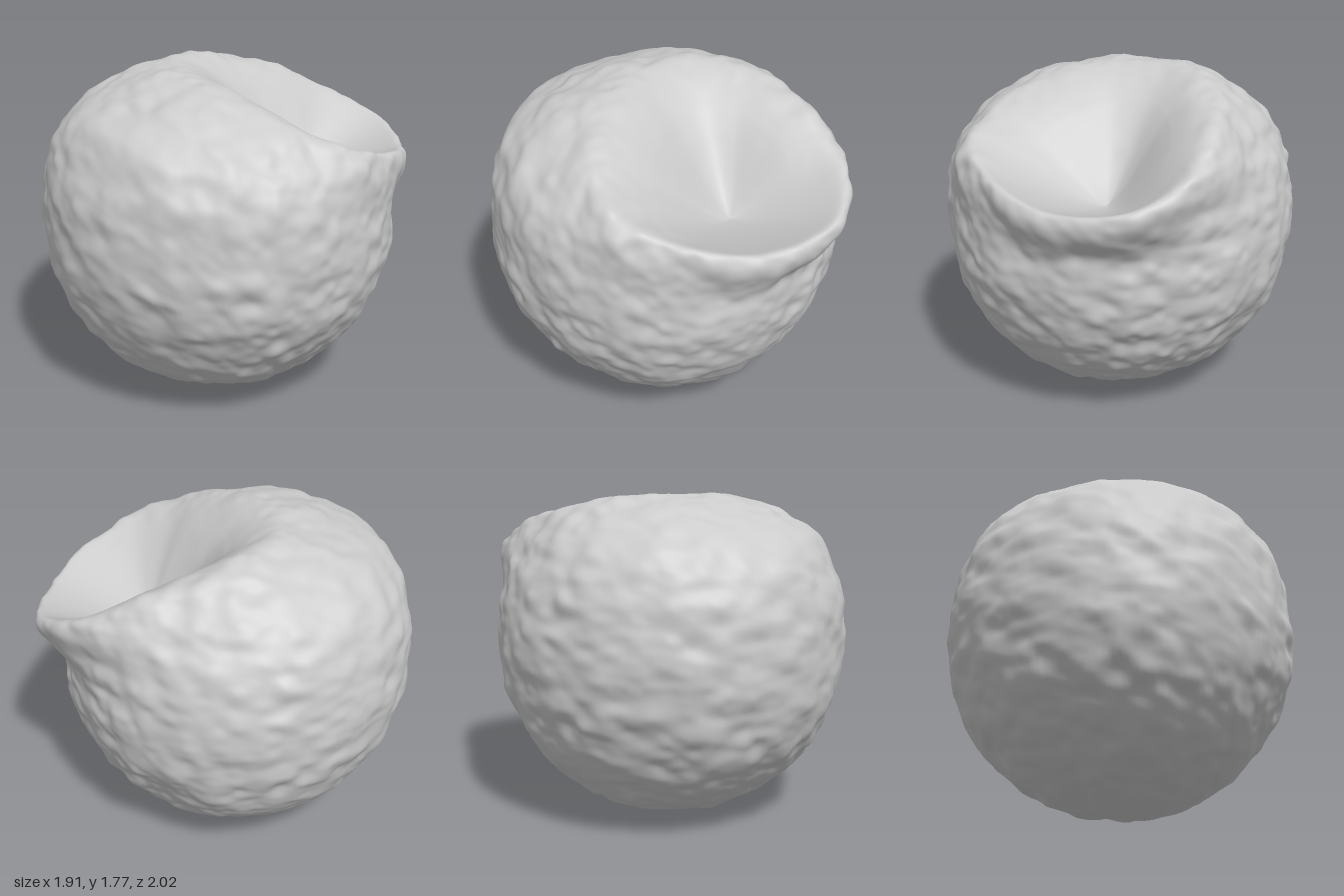
import * as THREE from 'three';

const { lerp, smoothstep } = THREE.MathUtils;
const rad = Math.PI / 180;

// Smooth seeded value noise, range -1..1
function hash(x, y, z) {
  let h = Math.imul(x, 374761393) ^ Math.imul(y, 668265263) ^ Math.imul(z, 1274126177);
  h = Math.imul(h ^ (h >>> 13), 1103515245);
  return (((h ^ (h >>> 16)) >>> 0) / 4294967295) * 2 - 1;
}
function noise(x, y, z) {
  const X = Math.floor(x), Y = Math.floor(y), Z = Math.floor(z);
  const f = (t) => t * t * (3 - 2 * t);
  const u = f(x - X), v = f(y - Y), w = f(z - Z);
  const edge = (j, k) => lerp(hash(X, Y + j, Z + k), hash(X + 1, Y + j, Z + k), u);
  return lerp(lerp(edge(0, 0), edge(1, 0), v), lerp(edge(0, 1), edge(1, 1), v), w);
}
const bumps = (p) =>
  0.016 * noise(p.x * 9 + 20, p.y * 11 + 20, p.z * 9 + 20) +
  0.006 * noise(p.x * 17 + 50, p.y * 20 + 50, p.z * 17 + 50) +
  0.007 * noise(p.x * 4 + 80, p.y * 4 + 80, p.z * 4 + 80);

// Crest of the hollow: a low lip at the back, a rounded shoulder at the front
const rim = new THREE.CatmullRomCurve3([
  [0.86, 1.46, -0.18], [0.8, 1.38, -0.46], [0.6, 1.31, -0.78], [0.25, 1.36, -1.01],
  [-0.05, 1.47, -0.94], [-0.26, 1.6, -0.76], [-0.37, 1.69, -0.5], [-0.42, 1.75, -0.2],
  [-0.35, 1.78, 0.1], [-0.1, 1.77, 0.26], [0.2, 1.74, 0.28], [0.48, 1.67, 0.22],
  [0.7, 1.58, 0.12], [0.83, 1.52, -0.02],
].map((p) => new THREE.Vector3(...p)), true);

const center = new THREE.Vector3(0, 0.95, 0.04);
const pit = new THREE.Vector3(0.2, 1.16, -0.42);
const shoulder = (r) => smoothstep(r.y, 1.3, 1.65);

// Point on the round outside, s = 0 at the base and 1 on the rim
function bodyPoint(r, s) {
  const d = r.clone().sub(center);
  const rimElev = Math.asin(d.y / d.length()) / rad;
  const elev = lerp(-90, rimElev, s);
  const width = 15 + Math.max(0, rimElev - 22) * 0.55;
  const k = smoothstep(elev, rimElev - width, rimElev - width * 0.2 * (1 - shoulder(r)));
  const azRim = Math.atan2(d.z, d.x);
  const azLow = Math.atan2(r.z + 0.12, r.x - 0.05);
  const turn = Math.atan2(Math.sin(azRim - azLow), Math.cos(azRim - azLow));
  const az = azLow + turn * smoothstep(elev, 0, rimElev);
  const bulge = 0.95 + 0.035 * smoothstep(elev, 0, 32) * shoulder(r);
  const n = new THREE.Vector3(
    Math.cos(elev * rad) * Math.cos(az), Math.sin(elev * rad), Math.cos(elev * rad) * Math.sin(az));
  return n.multiplyScalar(lerp(bulge, d.length(), k)).add(center);
}

// Point inside the hollow, t = 0 on the rim and 1 at the pit
function hollowPoint(r, t) {
  const p = r.clone().lerp(pit, t);
  const q = t ** 1.35;
  const rounded = lerp(q, q * q * (3 - 2 * q), 0.6);
  const open = 1 - (1 - t) ** 1.4;
  p.y = lerp(r.y, pit.y, lerp(open, rounded, shoulder(r)));
  return p;
}

export function createModel() {
  const around = 260, up = 150, inward = 60;
  const rows = up + inward;

  // Each strip runs from the base up to the rim, then down into the pit
  const strips = Array.from({ length: around }, (_, j) => {
    const r = rim.getPoint(j / around);
    const strip = [];
    for (let i = 0; i <= rows; i++) {
      strip.push(i <= up ? bodyPoint(r, i / up) : hollowPoint(r, (i - up) / inward));
    }
    // Round the crest, softly at the shoulder and tighter at the lip
    const weight = lerp(0.12, 0.5, shoulder(r));
    for (let pass = 0; pass < 40; pass++) {
      const old = strip.map((p) => p.clone());
      for (let i = up - 25; i <= up + 25; i++) {
        const middle = old[i - 1].clone().add(old[i + 1]).multiplyScalar(0.5);
        strip[i].lerp(middle, weight);
      }
    }
    // Bumpy skin that fades to smooth inside the hollow
    return strip.map((p, i) => {
      const n = p.clone().sub(center).normalize();
      const fade = 1 - 0.9 * smoothstep(i, up, up + inward * 0.4);
      return p.clone().addScaledVector(n, bumps(p) * fade * (1 - smoothstep(i, rows - 20, rows)));
    });
  });

  const positions = [], index = [];
  for (let i = 0; i <= rows; i++) {
    for (const strip of strips) positions.push(...strip[i].toArray());
  }
  for (let i = 0; i < rows; i++) {
    for (let j = 0; j < around; j++) {
      const j2 = (j + 1) % around;
      const a = i * around + j, b = i * around + j2;
      const c = a + around, d = b + around;
      if (i > 0) index.push(a, b, c);
      if (i < rows - 1) index.push(b, d, c);
    }
  }
  const geometry = new THREE.BufferGeometry();
  geometry.setAttribute('position', new THREE.Float32BufferAttribute(positions, 3));
  geometry.setIndex(index);
  geometry.computeVertexNormals();
  // Shared normals at the base and the pit
  const normals = geometry.attributes.normal;
  for (let j = 0; j < around; j++) {
    normals.setXYZ(j, 0, -1, 0);
    normals.setXYZ(rows * around + j, 0, 1, 0);
  }
  // Rest the lowest bump on the ground
  geometry.computeBoundingBox();
  geometry.translate(0, -geometry.boundingBox.min.y, 0);

  const body = new THREE.Mesh(geometry, new THREE.MeshStandardMaterial({ color: 0xcccccc }));
  body.name = 'hollowedBody';
  const group = new THREE.Group();
  group.name = 'dimpledBall';
  group.add(body);
  return group;
}
